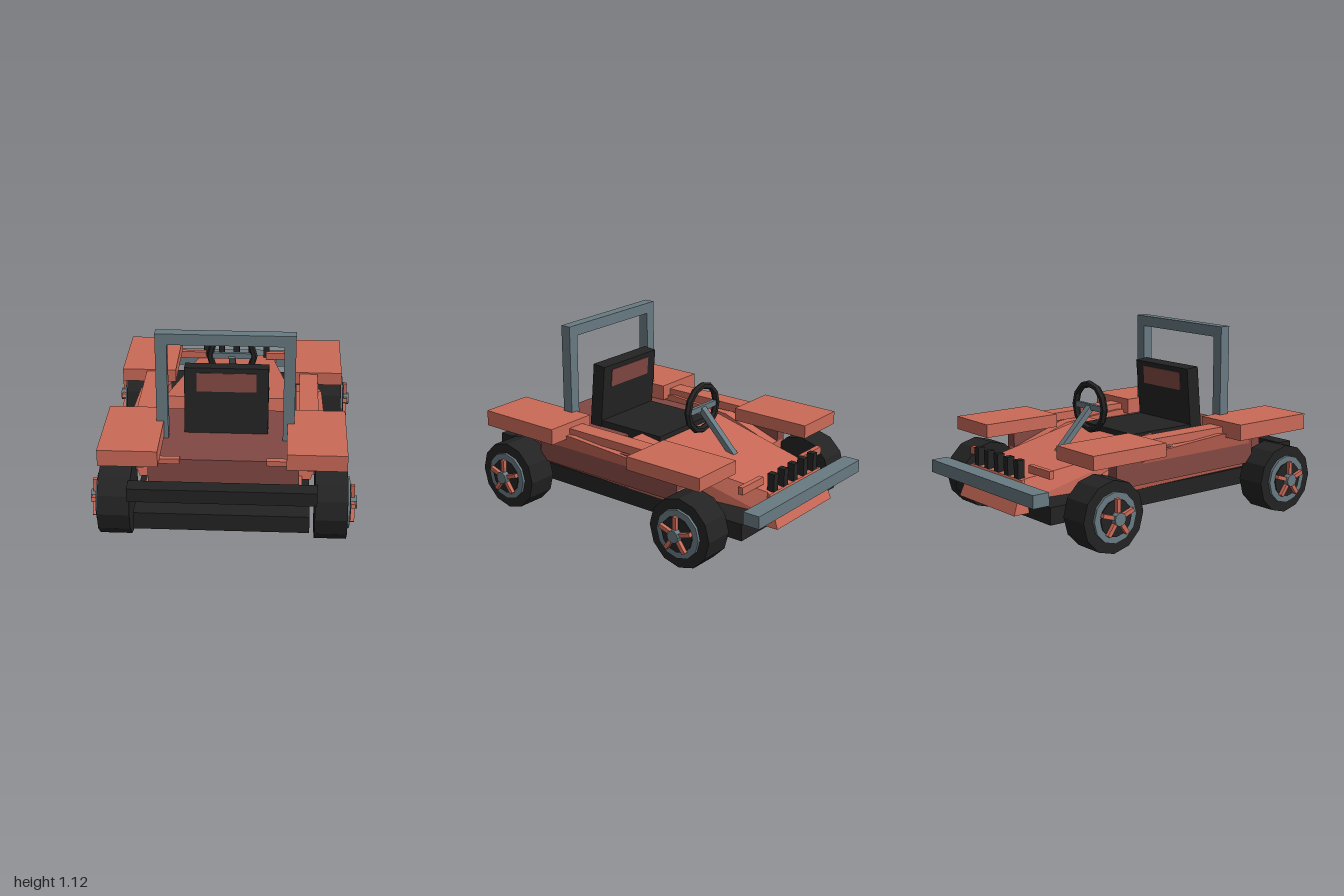
import * as THREE from 'three';
import { ConvexGeometry } from 'three/addons/geometries/ConvexGeometry.js';

export function createModel() {
  const root = new THREE.Group();
  root.name = 'buggy';
  const mat = (name, color) => {
    const m = new THREE.MeshStandardMaterial({ color, flatShading: true });
    m.name = name;
    return m;
  };
  const red = mat('red paint', 0xcb6a58);
  const darkRed = mat('dark red interior', 0x824843);
  const grey = mat('grey metal', 0x687a81);
  const black = mat('black rubber', 0x232323);

  const add = (name, geometry, material, parent = root) => {
    const mesh = new THREE.Mesh(geometry, material);
    mesh.name = name;
    parent.add(mesh);
    return mesh;
  };
  // Box given by its limits on each axis
  const box = (name, material, x0, x1, y0, y1, z0, z1, parent = root) => {
    const mesh = add(name, new THREE.BoxGeometry(Math.abs(x1 - x0), y1 - y0, z1 - z0), material, parent);
    mesh.position.set((x0 + x1) / 2, (y0 + y1) / 2, (z0 + z1) / 2);
    return mesh;
  };
  const hull = (name, material, points) =>
    add(name, new ConvexGeometry(points.map(p => new THREE.Vector3(...p))), material);
  const bothSides = list => list.flatMap(([x, y, z]) => [[x, y, z], [-x, y, z]]);

  // Chassis, rear bumper and rear tub
  box('chassis', black, -0.48, 0.48, 0.16, 0.26, -0.86, 1);
  box('rearBumper', black, -0.52, 0.52, 0.3, 0.38, 0.86, 0.955);
  box('rearTub', darkRed, -0.42, 0.42, 0.28, 0.475, 0.155, 0.78);
  box('tubSkirt', red, -0.44, 0.44, 0.255, 0.29, 0.17, 0.77);

  // Tapered hood with a sloping dashboard, and the nose in front
  hull('hood', red, bothSides([
    [0.39, 0.505, 0.05], [0.4, 0.26, 0.11],
    [0.24, 0.37, -0.87], [0.28, 0.255, -0.87],
  ]));
  hull('nose', red, bothSides([
    [0.24, 0.37, -0.86], [0.26, 0.37, -0.89],
    [0.28, 0.185, -0.86], [0.28, 0.185, -0.96],
  ]));

  // Body sides, fenders and lamps
  const flankProfile = [[0.61, 0.27], [0.56, 0.49], [0.32, 0.515], [-0.1, 0.485], [-0.45, 0.365], [-0.45, 0.26]];
  for (const s of [1, -1]) {
    hull('sidePanel', red, flankProfile.flatMap(([z, y]) => [
      [s * 0.4, y, z],
      [s * (0.485 + (y - 0.26) * 0.31), y, z],
    ]));
    box('innerSide', darkRed, s * 0.466, s * 0.535, 0.3, 0.49, -0.45, 0.6);
    box('sill', red, s * 0.42, s * 0.53, 0.5, 0.55, -0.22, 0.37);
    box('rearFender', red, s * 0.35, s * 0.68, 0.49, 0.585, 0.36, 0.9);
    box('frontFender', red, s * 0.35, s * 0.68, 0.48, 0.56, -0.72, -0.21);
    box('rearLamp', red, s * 0.24, s * 0.42, 0.46, 0.49, 0.77, 0.805);
    box('frontLamp', red, s * 0.2, s * 0.4, 0.39, 0.435, -0.805, -0.775);
    box('rollBarPost', grey, s * 0.325, s * 0.39, 0.45, 1.056, 0.47, 0.535);
  }
  box('rollBarTop', grey, -0.39, 0.39, 1.055, 1.12, 0.47, 0.535);

  // Front bumper with a row of pegs
  box('frontBumper', grey, -0.52, 0.52, 0.285, 0.36, -1, -0.895);
  for (let i = -2; i <= 2; i++) {
    box('peg', black, i * 0.1 - 0.02, i * 0.1 + 0.02, 0.355, 0.475, -0.89, -0.845);
  }

  // Seat
  box('seatCushion', black, -0.235, 0.235, 0.4, 0.515, -0.09, 0.38);
  const seatBack = new THREE.Group();
  seatBack.name = 'seatBack';
  seatBack.position.set(0, 0.45, 0.415);
  seatBack.rotation.x = -0.09;
  root.add(seatBack);
  box('backrest', black, -0.24, 0.24, 0, 0.415, -0.043, 0.043, seatBack);
  box('headrest', darkRed, -0.17, 0.17, 0.275, 0.385, -0.047, 0.047, seatBack);

  // Steering wheel and column
  const wheelRim = add('steeringWheel', new THREE.TorusGeometry(0.137, 0.021, 6, 12), black);
  wheelRim.position.set(0, 0.662, -0.22);
  box('steeringSpoke', grey, -0.13, 0.13, 0.645, 0.68, -0.232, -0.21);
  const column = add('steeringColumn', new THREE.BoxGeometry(0.04, 0.035, 0.36), grey);
  column.position.set(0, 0.535, -0.34);
  column.rotation.x = -0.79;

  // Wheels with five spokes
  const disc = (name, r, x0, x1, material, parent, sides = 12) => {
    const g = new THREE.CylinderGeometry(r, r, x1 - x0, sides).rotateZ(-Math.PI / 2);
    g.translate((x0 + x1) / 2, 0, 0);
    return add(name, g, material, parent);
  };
  for (const z of [0.735, -0.59]) {
    const axle = disc('axle', 0.03, -0.52, 0.52, grey, root, 8);
    axle.position.set(0, 0.21, z);
    for (const s of [1, -1]) {
      const wheel = new THREE.Group();
      wheel.name = 'wheel';
      wheel.position.set(0, 0.205, z);
      wheel.rotation.y = s > 0 ? 0 : Math.PI;
      root.add(wheel);
      disc('tyre', 0.206, 0.51, 0.69, black, wheel);
      disc('rim', 0.145, 0.68, 0.705, grey, wheel);
      disc('rimCentre', 0.106, 0.69, 0.711, black, wheel);
      for (let i = 0; i < 5; i++) {
        const g = new THREE.BoxGeometry(0.024, 0.085, 0.024).translate(0.722, 0.068, 0);
        add('spoke', g.rotateX(i * Math.PI * 2 / 5), red, wheel);
      }
      disc('hub', 0.038, 0.7, 0.748, grey, wheel, 10);
    }
  }
  return root;
}
